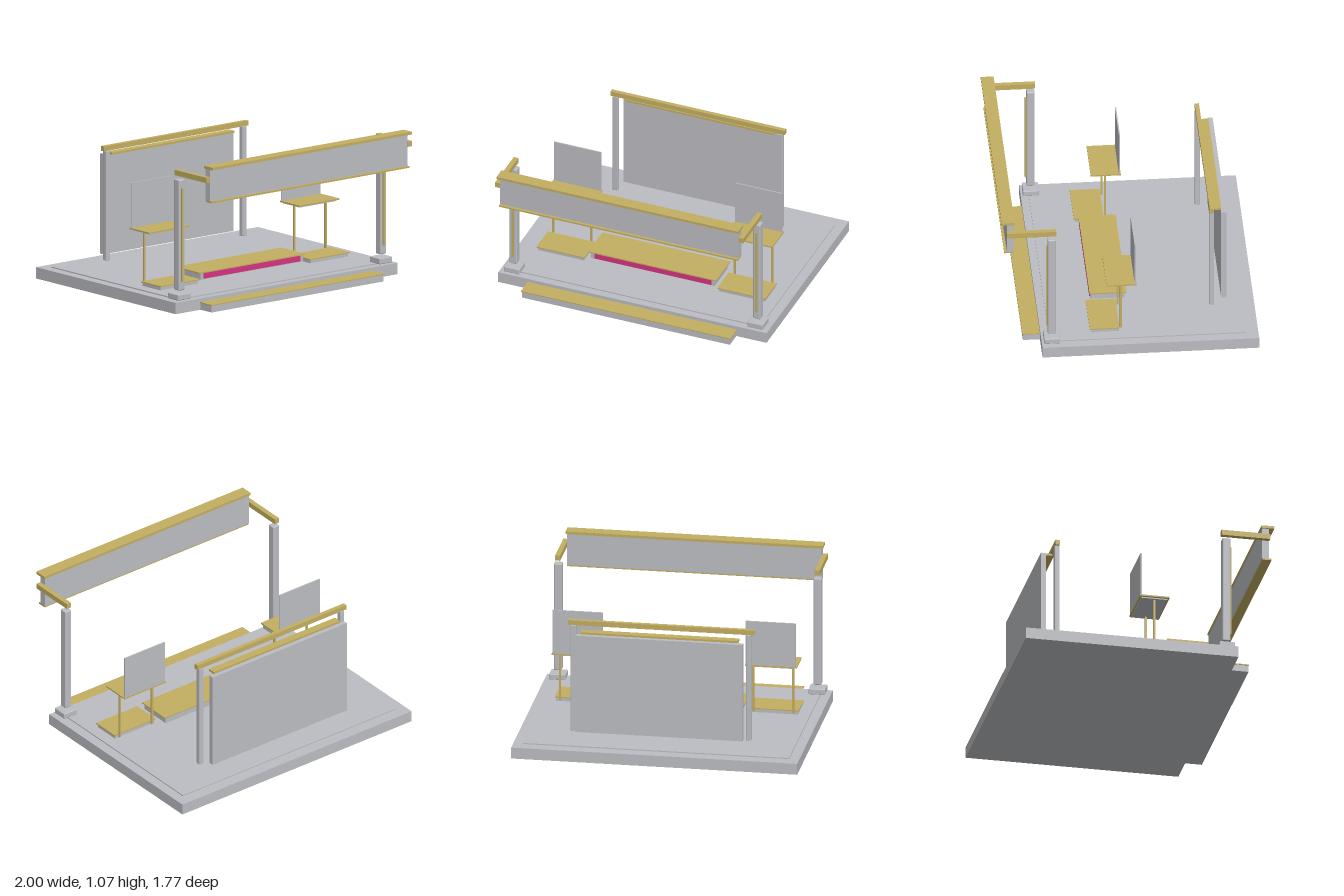
import * as THREE from 'three';
import { RoundedBoxGeometry } from 'three/addons/geometries/RoundedBoxGeometry.js';

const material = (name, color) => {
  const m = new THREE.MeshStandardMaterial({ color });
  m.name = name;
  return m;
};

export function createModel() {
  const model = new THREE.Group();
  const grey = material('greyPanel', 0xbcbdc2);
  const gold = material('gold', 0xc4af62);
  const pink = material('pinkGlow', 0xd6337f);

  // Box given by its limits on each axis; a radius rounds its edges
  function box(name, mat, [x0, x1], [y0, y1], [z0, z1], radius = 0) {
    const size = [x1 - x0, y1 - y0, z1 - z0];
    const geometry = radius
      ? new RoundedBoxGeometry(...size, 2, radius)
      : new THREE.BoxGeometry(...size);
    const mesh = new THREE.Mesh(geometry, mat);
    mesh.name = name;
    mesh.position.set((x0 + x1) / 2, (y0 + y1) / 2, (z0 + z1) / 2);
    model.add(mesh);
  }
  // The same box on both sides
  function pair(name, mat, [x0, x1], y, z, radius) {
    box(name + 'Left', mat, [x0, x1], y, z, radius);
    box(name + 'Right', mat, [-x1, -x0], y, z, radius);
  }

  // Floor and front step
  box('base', grey, [-1, 1], [0, 0.08], [-0.89, 0.61]);
  box('floor', grey, [-0.93, 0.93], [0.08, 0.088], [-0.805, 0.555]);
  box('step', grey, [-0.775, 0.775], [0, 0.048], [0.61, 0.728]);
  box('stepTop', gold, [-0.78, 0.78], [0.048, 0.055], [0.61, 0.732]);

  // Front posts with their feet, trims and brackets
  pair('postFoot', grey, [0.85, 0.965], [0.086, 0.128], [0.485, 0.595], 0.006);
  pair('post', grey, [0.88, 0.935], [0.148, 0.93], [0.512, 0.568], 0.008);
  pair('postTrim', gold, [0.9, 0.915], [0.21, 0.87], [0.568, 0.578]);
  pair('bracket', gold, [0.89, 0.925], [0.955, 0.993], [0.508, 0.85]);

  // Front sign beam
  box('beam', grey, [-0.89, 0.89], [0.82, 1.047], [0.8, 0.848]);
  box('beamTopTrim', gold, [-0.9, 0.9], [1.047, 1.066], [0.795, 0.884]);
  box('beamBottomTrim', gold, [-0.89, 0.89], [0.81, 0.822], [0.803, 0.866]);

  // Back wall and its frame
  box('backPanel', grey, [-0.585, 0.585], [0.15, 0.857], [-0.695, -0.66]);
  box('backPanelTrim', gold, [-0.55, 0.55], [0.857, 0.872], [-0.663, -0.607]);
  pair('backPost', grey, [0.595, 0.633], [0.125, 0.9], [-0.608, -0.573], 0.005);
  box('backRail', gold, [-0.65, 0.65], [0.9, 0.935], [-0.606, -0.576]);

  // Low central counter
  box('counterFoot', grey, [-0.43, 0.43], [0.088, 0.103], [0.015, 0.08]);
  box('counter', grey, [-0.46, 0.46], [0.103, 0.149], [0, 0.235]);
  box('counterTop', gold, [-0.478, 0.475], [0.149, 0.157], [-0.015, 0.242]);
  box('counterGlow', pink, [-0.435, 0.435], [0.109, 0.147], [0.235, 0.241]);

  // Side stands
  pair('platform', grey, [0.505, 0.845], [0.088, 0.112], [0.07, 0.262]);
  pair('platformTop', gold, [0.495, 0.853], [0.112, 0.12], [0.065, 0.272]);
  for (const x of [0.535, 0.816]) {
    pair('standLeg', gold, [x - 0.007, x + 0.007], [0.1, 0.463], [0.047, 0.061]);
  }
  pair('shelfUnderside', grey, [0.51, 0.84], [0.461, 0.469], [-0.04, 0.145]);
  pair('shelf', gold, [0.495, 0.857], [0.469, 0.479], [-0.053, 0.155]);
  pair('screen', grey, [0.5, 0.85], [0.479, 0.797], [-0.049, -0.04]);

  return model;
}
